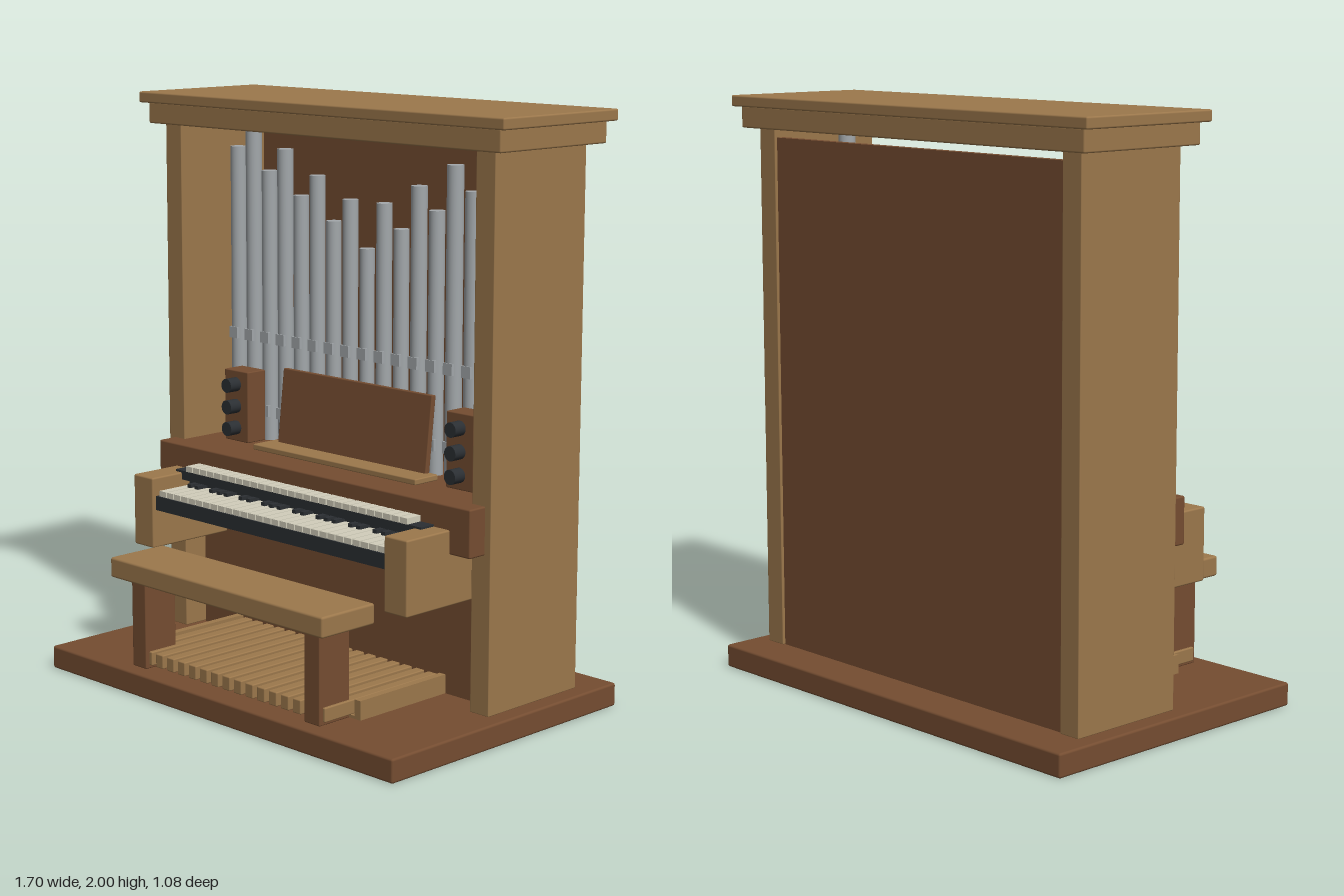
import * as THREE from 'three';
import { RoundedBoxGeometry } from 'three/addons/geometries/RoundedBoxGeometry.js';

const paint = (color) => {
  const m = new THREE.MeshStandardMaterial();
  m.color.set(color);
  return m;
};

export function createModel() {
  const oak = paint(0x9c784c), walnut = paint(0x754d31), tin = paint(0xa3a8ab);
  const ebony = paint(0x2b2f33), ivory = paint(0xd2cebb);
  const root = new THREE.Group();
  root.name = 'pipeOrgan';

  const group = (name) => {
    const g = new THREE.Group();
    g.name = name;
    root.add(g);
    return g;
  };
  const add = (parent, name, geo, mat, x, y, z) => {
    const m = new THREE.Mesh(geo, mat);
    m.name = name;
    m.position.set(x, y, z);
    parent.add(m);
    return m;
  };
  // box given by its extents; r > 0 softens the edges
  const box = (parent, name, mat, [x0, x1], [y0, y1], [z0, z1], r = 0) => {
    const s = [x1 - x0, y1 - y0, z1 - z0];
    const geo = r ? new RoundedBoxGeometry(...s, 2, r) : new THREE.BoxGeometry(...s);
    return add(parent, name, geo, mat, (x0 + x1) / 2, (y0 + y1) / 2, (z0 + z1) / 2);
  };
  const span = (c, w) => [c - w / 2, c + w / 2];

  // case
  const body = group('case');
  box(body, 'base', walnut, [-0.83, 0.83], [0, 0.08], [-0.54, 0.54], 0.008);
  box(body, 'backPanel', walnut, [-0.69, 0.69], [0.08, 1.86], [-0.39, -0.36]);
  box(body, 'lowerFrontPanel', walnut, [-0.68, 0.68], [0.08, 0.62], [-0.08, -0.05]);
  box(body, 'corniceLower', oak, [-0.82, 0.82], [1.89, 1.965], [-0.44, 0.07], 0.006);
  box(body, 'corniceTop', oak, [-0.85, 0.85], [1.962, 2], [-0.46, 0.09], 0.006);
  for (const s of [-1, 1])
    box(body, 'sidePost', oak, span(s * 0.73, 0.08), [0.08, 1.89], [-0.4, 0.035], 0.003);

  // pipes with mouths, heights listed from the centre outwards
  const pipes = group('pipes');
  const tops = [1.5, 1.66, 1.58, 1.73, 1.655, 1.81, 1.73, 1.89, 1.805];
  for (let i = -8; i <= 8; i++) {
    const x = i * 0.08, top = tops[Math.abs(i)], z = -0.19;
    const r = 0.026 + 0.003 * (top - 1.5) / 0.39;
    add(pipes, 'pipe', new THREE.CylinderGeometry(r, r, top - 0.7, 20), tin, x, (top + 0.7) / 2, z);
    for (const y of [0.875, 1.14])
      box(pipes, 'pipeMouth', tin, span(x, 0.04), span(y, 0.04), [z, z + r + 0.003]);
  }

  // console shelf, key cheeks, music desk
  const con = group('console');
  box(con, 'consoleShelf', walnut, [-0.745, 0.745], [0.61, 0.77], [-0.36, 0.105], 0.006);
  box(con, 'musicLedge', oak, [-0.39, 0.39], [0.77, 0.79], [-0.13, -0.02], 0.004);
  const desk = box(con, 'musicDesk', walnut, [-0.355, 0.355], [0.775, 1.05], [-0.14, -0.12], 0.004);
  desk.rotation.x = -0.11;
  for (const s of [-1, 1]) {
    box(con, 'keyCheek', oak, span(s * 0.608, 0.1), [0.44, 0.69], [-0.05, 0.3], 0.006);
    box(con, 'stopTower', walnut, span(s * 0.535, 0.12), [0.77, 1.025], [-0.16, -0.075], 0.004);
    for (const y of [0.82, 0.898, 0.976]) {
      const knob = new THREE.CylinderGeometry(0.025, 0.025, 0.05, 20);
      add(con, 'stopKnob', knob, ebony, s * 0.535, y, -0.052).rotation.x = Math.PI / 2;
    }
  }

  // two manuals, each a dark key bed with white and black keys
  const manuals = group('manuals');
  box(manuals, 'lowerKeyBed', ebony, [-0.558, 0.558], [0.575, 0.625], [-0.05, 0.285]);
  box(manuals, 'upperKeyBed', ebony, [-0.59, 0.59], [0.665, 0.697], [0.0, 0.165]);
  box(manuals, 'manualRiser', ebony, [-0.558, 0.558], [0.62, 0.67], [0.0, 0.13]);
  const count = 29, pitch = 1.07 / count;
  const row = (name, y, z0, z1, sharpZ, w) => {
    for (let i = 0; i < count; i++) {
      const x = (i - (count - 1) / 2) * w;
      box(manuals, name + 'WhiteKey', ivory, span(x, w - 0.005), [y, y + 0.02], [z0, z1]);
      if (![2, 6].includes(i % 7) && i < count - 1)
        box(manuals, name + 'BlackKey', ebony, span(x + w / 2, 0.018), [y + 0.01, y + 0.032], [z0, sharpZ]);
    }
  };
  row('lower', 0.625, 0.05, 0.28, 0.175, pitch + 0.0008);
  row('upper', 0.697, 0.05, 0.168, 0.09, pitch);

  // pedalboard
  const pedals = group('pedalboard');
  box(pedals, 'pedalFloor', oak, [-0.5, 0.5], [0.08, 0.09], [-0.05, 0.35]);
  for (const s of [-1, 1])
    box(pedals, 'pedalCheek', oak, span(s * 0.492, 0.026), [0.08, 0.145], [-0.05, 0.35]);
  for (let i = -8; i <= 8; i++)
    box(pedals, 'pedal', oak, span(i * 0.056, 0.037), [0.092, 0.14], [-0.05, 0.47], 0.004);

  // bench
  const bench = group('bench');
  box(bench, 'benchSeat', oak, [-0.515, 0.515], [0.39, 0.46], [0.295, 0.53], 0.008);
  for (const s of [-1, 1])
    box(bench, 'benchLeg', walnut, span(s * 0.422, 0.07), [0.08, 0.395], [0.35, 0.485], 0.004);

  return root;
}
